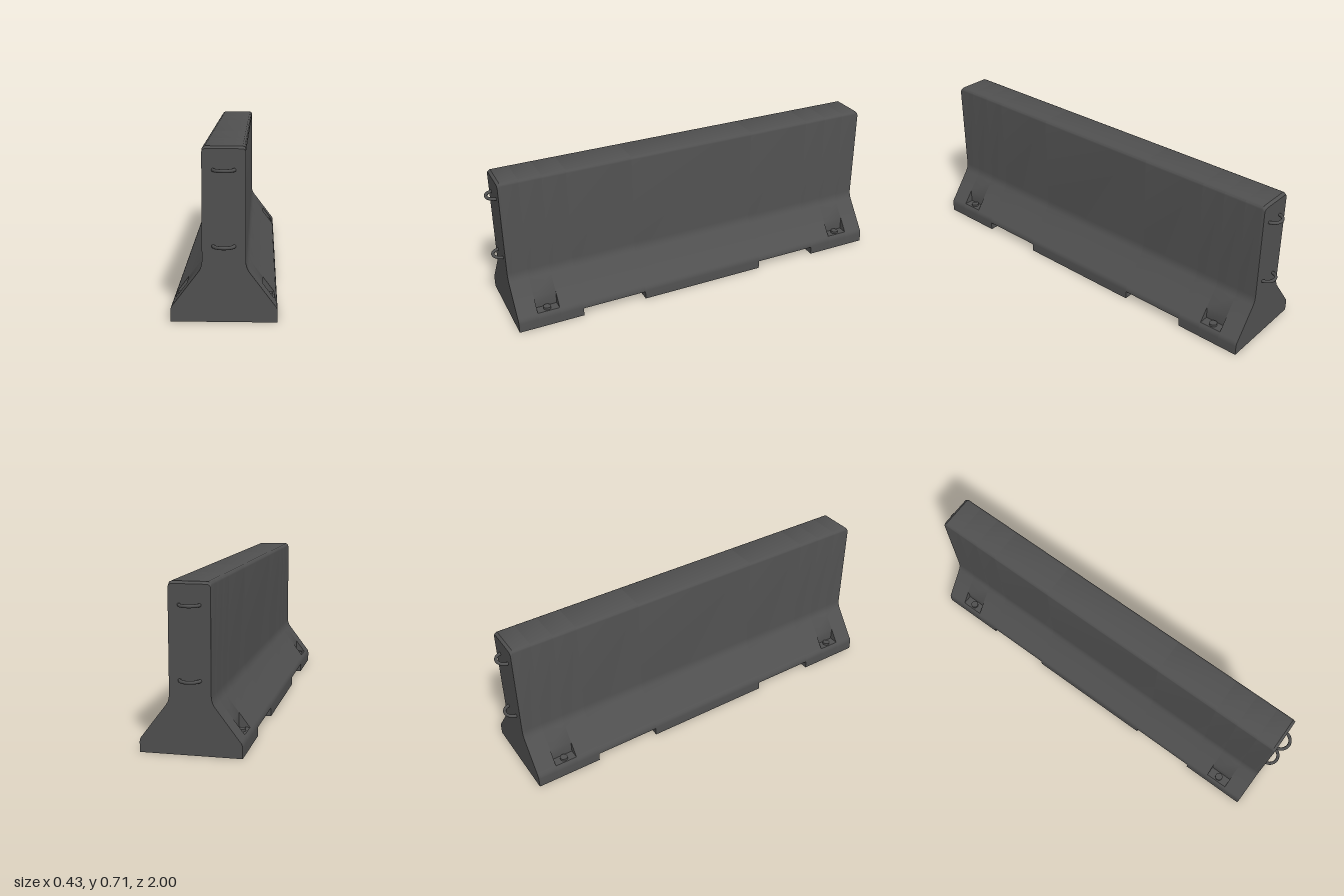
import * as THREE from 'three';
import { mergeGeometries, toCreasedNormals } from 'three/addons/utils/BufferGeometryUtils.js';

const END = 0.957, LIP = 0.945, TOP = 0.714;
const POCKET = { z0: 0.754, z1: 0.861, floor: 0.072, back: 0.158 };

// Right half of the cross-section, bottom to top
const lower = [[0.217, 0.045], [0.2155, 0.055], [0.211, 0.065], [0.205, 0.072]];
const slope = [[0.198, 0.081]];
const upper = [[0.158, 0.134], [0.101, 0.209], [0.094, 0.222], [0.09, 0.235], [0.088, 0.25],
  [0.088, 0.698], [0.0865, 0.705], [0.083, 0.71], [0.075, TOP]];

function section(baseY, pocket) {
  const middle = pocket ? [[POCKET.back, POCKET.floor]] : slope;
  const half = [[0.217, baseY], ...lower, ...middle, ...upper];
  const mirrored = half.map(([x, y]) => [-x, y]).reverse();
  return new THREE.Shape([...half, ...mirrored].map(([x, y]) => new THREE.Vector2(x, y)));
}

// One length of barrier between z0 and z1; roundZ eases the top edge down at that end
function length(z0, z1, { baseY = 0, pocket = false, roundZ = null } = {}) {
  const geo = new THREE.ExtrudeGeometry(section(baseY, pocket), { depth: z1 - z0, bevelEnabled: false });
  geo.translate(0, 0, z0);
  if (roundZ !== null) {
    const p = geo.attributes.position;
    for (let i = 0; i < p.count; i++) {
      if (Math.abs(p.getZ(i) - roundZ) < 1e-4 && p.getY(i) > 0.69) p.setY(i, p.getY(i) - 0.01);
    }
  }
  return toCreasedNormals(geo, 0.75);
}

export function createModel() {
  const model = new THREE.Group();
  model.name = 'roadBarrier';
  const concrete = new THREE.MeshStandardMaterial({ color: 0x505050 });
  concrete.name = 'dark concrete grey';

  const add = (name, geo, x, y, z) => {
    const mesh = new THREE.Mesh(geo, concrete);
    mesh.name = name;
    mesh.position.set(x, y, z);
    model.add(mesh);
    return mesh;
  };

  // Body: central foot, then lift slots, feet with pockets, and eased ends
  const parts = [length(-0.32, 0.32)];
  const run = [
    [0.32, 0.64, { baseY: 0.04 }],
    [0.64, POCKET.z0, {}],
    [POCKET.z0, POCKET.z1, { pocket: true }],
    [POCKET.z1, LIP, {}],
  ];
  for (const [a, b, options] of run) parts.push(length(a, b, options), length(-b, -a, options));
  parts.push(length(LIP, END, { roundZ: END }), length(-END, -LIP, { roundZ: -END }));
  add('barrierBody', mergeGeometries(parts), 0, 0, 0);

  // Connecting loops on both ends
  const loopGeo = new THREE.TorusGeometry(0.0425, 0.0075, 10, 24, Math.PI);
  loopGeo.rotateX(Math.PI / 2);
  for (const side of [1, -1]) {
    for (const y of [0.62, 0.313]) {
      const loop = add('connectingLoop', loopGeo, 0, y, side * 0.95);
      if (side < 0) loop.rotation.y = Math.PI;
    }
  }

  // Anchor bolts standing in the pockets
  const boltGeo = new THREE.CylinderGeometry(0.018, 0.018, 0.012, 20);
  for (const sx of [1, -1]) {
    for (const sz of [1, -1]) {
      add('anchorBolt', boltGeo, sx * 0.181, POCKET.floor + 0.005, sz * 0.8075);
    }
  }
  return model;
}
